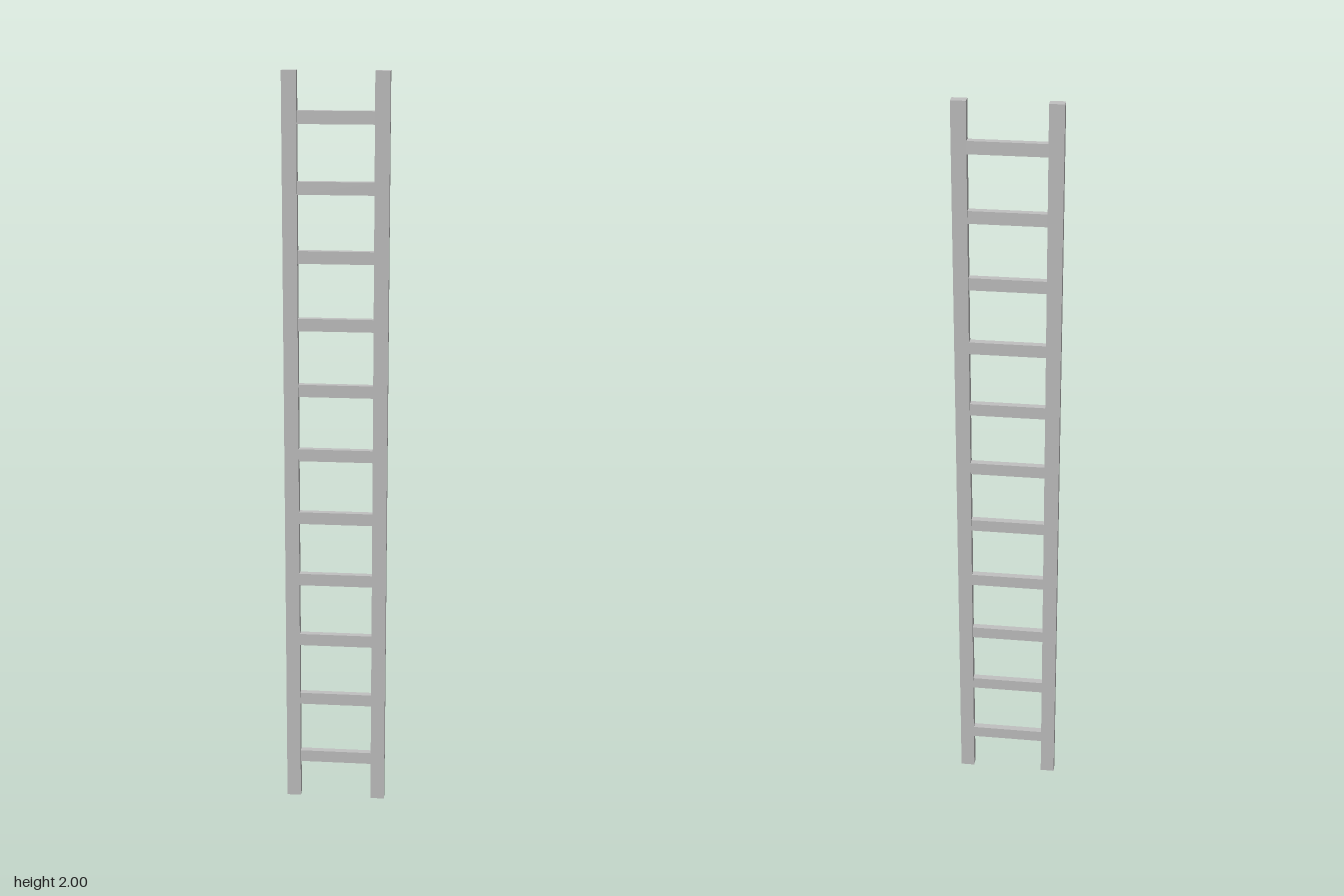
import * as THREE from 'three';

export function createModel() {
  const group = new THREE.Group();
  const metal = new THREE.MeshStandardMaterial({ color: 0xc0c0c0 });
  metal.name = 'lightGrey';

  const ladder = new THREE.Group();
  ladder.name = 'ladder';
  ladder.rotation.y = 0.0855; // the ladder stands slightly turned
  group.add(ladder);

  const addBox = (name, w, h, d, x, y) => {
    const mesh = new THREE.Mesh(new THREE.BoxGeometry(w, h, d), metal);
    mesh.name = name;
    mesh.position.set(x, y, 0);
    ladder.add(mesh);
  };

  // Side rails
  addBox('leftRail', 0.038, 2, 0.025, 0.1175, 1);
  addBox('rightRail', 0.038, 2, 0.025, -0.1175, 1);

  // Rungs, evenly spaced between the rails
  const rungCount = 11, firstRung = 0.121, spacing = 0.1764;
  for (let i = 0; i < rungCount; i++) {
    addBox('rung' + (i + 1), 0.2, 0.033, 0.018, 0, firstRung + i * spacing);
  }
  return group;
}
